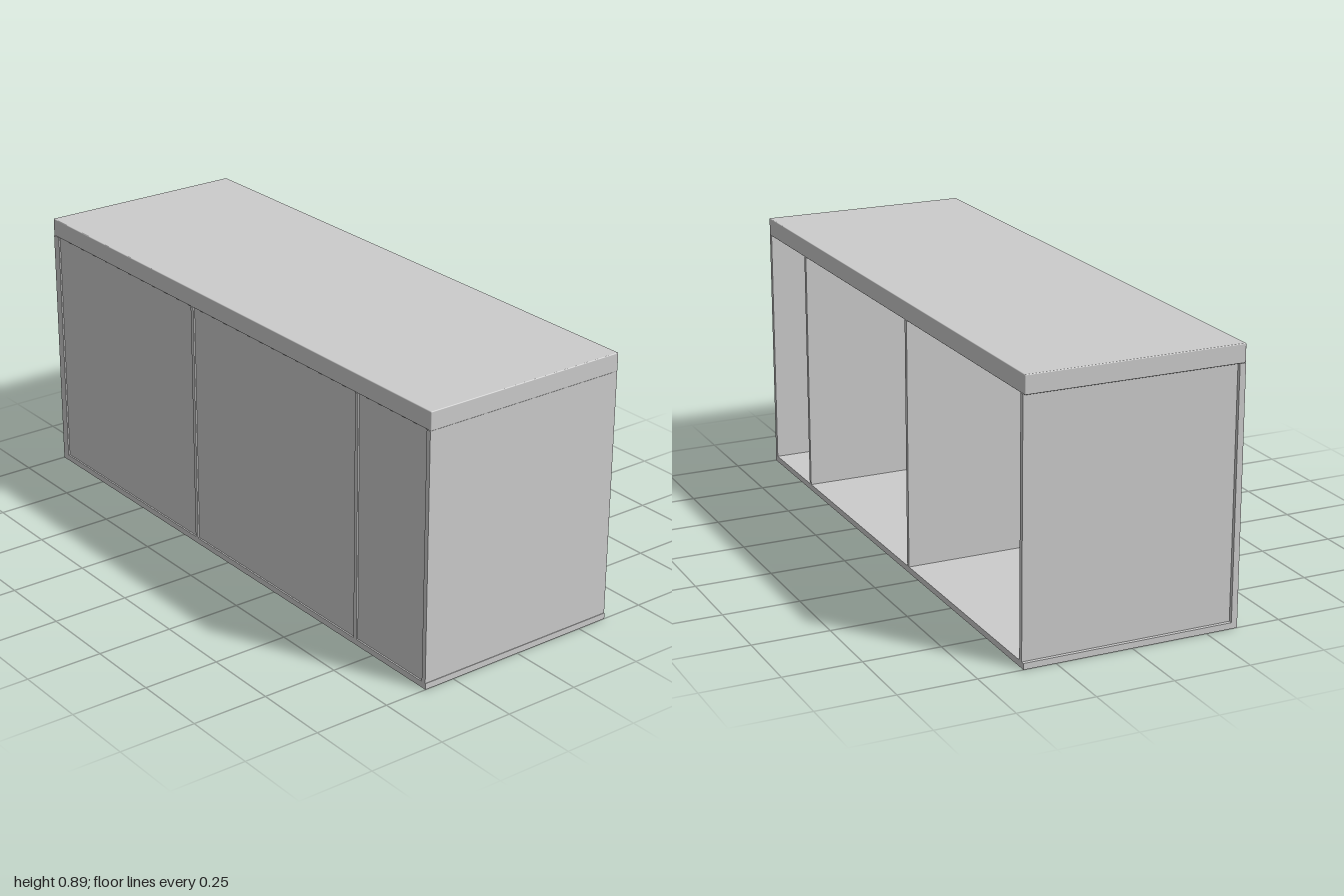
import * as THREE from 'three';
import { RoundedBoxGeometry } from 'three/addons/geometries/RoundedBoxGeometry.js';

const material = new THREE.MeshStandardMaterial({ color: 0xcccccc });

export function createModel() {
  const group = new THREE.Group();
  group.name = 'counter';

  const front = 0.355, back = -0.355;
  const baseTop = 0.02, wallTop = 0.827, height = 0.887;

  // Places a mesh so that it fills the given ranges
  function add(name, [x0, x1], [y0, y1], [z0, z1], radius = 0) {
    const size = [x1 - x0, y1 - y0, z1 - z0];
    const geometry = radius
      ? new RoundedBoxGeometry(...size, 2, radius)
      : new THREE.BoxGeometry(...size);
    const mesh = new THREE.Mesh(geometry, material);
    mesh.position.set((x0 + x1) / 2, (y0 + y1) / 2, (z0 + z1) / 2);
    mesh.name = name;
    group.add(mesh);
  }

  // Worktop with softened edges and the floor board
  add('worktop', [-1, 1], [wallTop, height], [back, front], 0.003);
  add('floorBoard', [-1, 1], [0, baseTop], [back, front]);

  // Upright boards; the right one sits slightly inside the floor's edge
  const uprights = [
    ['rightWall', -0.988, -0.972],
    ['rightDivider', -0.183, -0.169],
    ['leftDivider', 0.657, 0.671],
    ['leftWall', 0.982, 0.998],
  ];
  for (const [name, x0, x1] of uprights) {
    add(name, [x0, x1], [baseTop, wallTop], [back, front]);
  }

  // Narrow front strip covering the edge of the right wall
  add('frontStrip', [-1, -0.97], [baseTop, wallTop], [front - 0.02, front]);

  // Front panels between the uprights, set back a little; the back stays open
  for (let i = 0; i < uprights.length - 1; i++) {
    add('frontPanel' + (i + 1), [uprights[i][2], uprights[i + 1][1]],
      [baseTop, wallTop], [front - 0.02, front - 0.005]);
  }

  return group;
}
